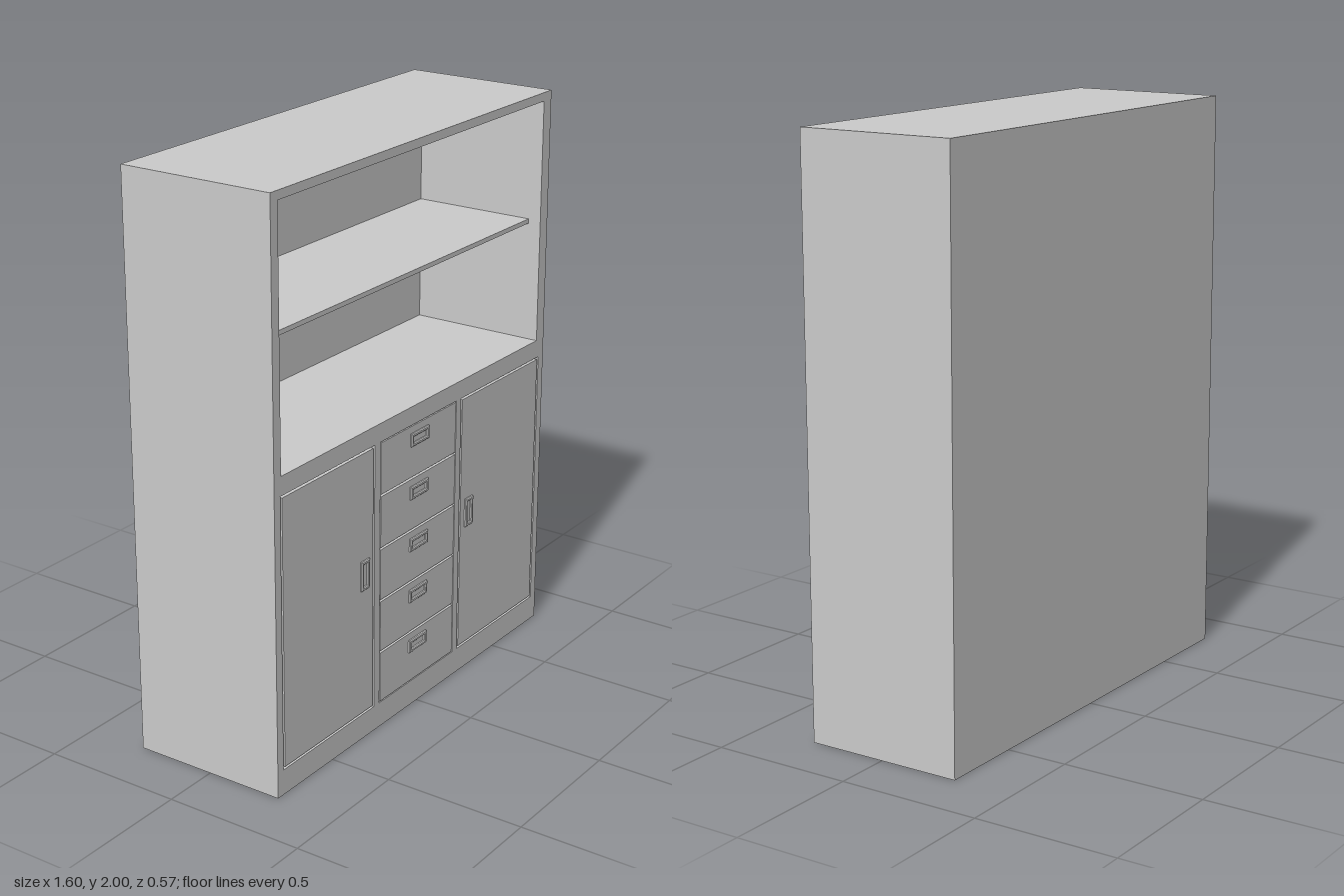
import * as THREE from 'three';

const BACK = -0.285, FRONT = 0.277, NICHE_BACK = -0.22, GROOVE = 0.02, GAP = 0.008;
const material = new THREE.MeshStandardMaterial({ color: 0xcccccc, flatShading: true });

// Rectangles are [left, bottom, right, top]
const niche = [-0.764, 1.105, 0.752, 1.97];
const doors = { rightDoor: [-0.769, 0.09, -0.261, 1.04], leftDoor: [0.256, 0.09, 0.768, 1.04] };
const drawerBay = [-0.229, 0.09, 0.226, 1.04];

function trace(path, [l, b, r, t]) {
  path.moveTo(l, b);
  path.lineTo(r, b);
  path.lineTo(r, t);
  path.lineTo(l, t);
  path.closePath();
  return path;
}

// Rectangular plate with rectangular openings, between two depths
function plate(name, rect, holes, z0, z1, bevel = 0) {
  const shape = trace(new THREE.Shape(), rect);
  for (const h of holes) shape.holes.push(trace(new THREE.Path(), h));
  const geometry = new THREE.ExtrudeGeometry(shape, {
    depth: z1 - z0 - bevel, bevelEnabled: bevel > 0,
    bevelSize: bevel, bevelOffset: -bevel, bevelThickness: bevel, bevelSegments: 1,
  });
  const mesh = new THREE.Mesh(geometry, material);
  mesh.position.z = z0;
  mesh.name = name;
  return mesh;
}

const inset = ([l, b, r, t], d) => [l + d, b + d, r - d, t - d];

// Shallow framed pull with bevelled rim
function handle(name, x, y, w, h) {
  const rect = [x - w / 2, y - h / 2, x + w / 2, y + h / 2];
  return plate(name, rect, [inset(rect, 0.012)], FRONT - 0.002, 0.285, 0.003);
}

export function createModel() {
  const model = new THREE.Group();
  model.name = 'cabinet';
  const outer = [-0.8, 0, 0.8, 2];

  // Carcass: back, hollow upper part and front frame
  model.add(
    plate('backPanel', outer, [], BACK, NICHE_BACK),
    plate('carcass', outer, [niche], NICHE_BACK, FRONT - GROOVE),
    plate('frontFrame', outer, [niche, drawerBay, ...Object.values(doors)], FRONT - GROOVE, FRONT),
    plate('shelf', [niche[0], 1.53, niche[2], 1.546], [], NICHE_BACK, 0.23),
  );

  // Flush doors, with a thin groove around each
  for (const [name, rect] of Object.entries(doors)) {
    model.add(plate(name, inset(rect, GAP), [], FRONT - GROOVE, FRONT));
    const x = name === 'leftDoor' ? 0.314 : -0.318;
    model.add(handle(name + 'Handle', x, 0.603, 0.048, 0.105));
  }

  // Stack of five drawers
  const pitch = (drawerBay[3] - drawerBay[1]) / 5;
  for (let i = 0; i < 5; i++) {
    const y = drawerBay[1] + i * pitch;
    const rect = [drawerBay[0] + GAP / 2, y + GAP / 2, drawerBay[2] - GAP / 2, y + pitch - GAP / 2];
    model.add(plate('drawer' + (i + 1), rect, [], FRONT - GROOVE, FRONT));
    model.add(handle('drawerHandle' + (i + 1), -0.002, y + 0.138, 0.105, 0.046));
  }
  return model;
}
